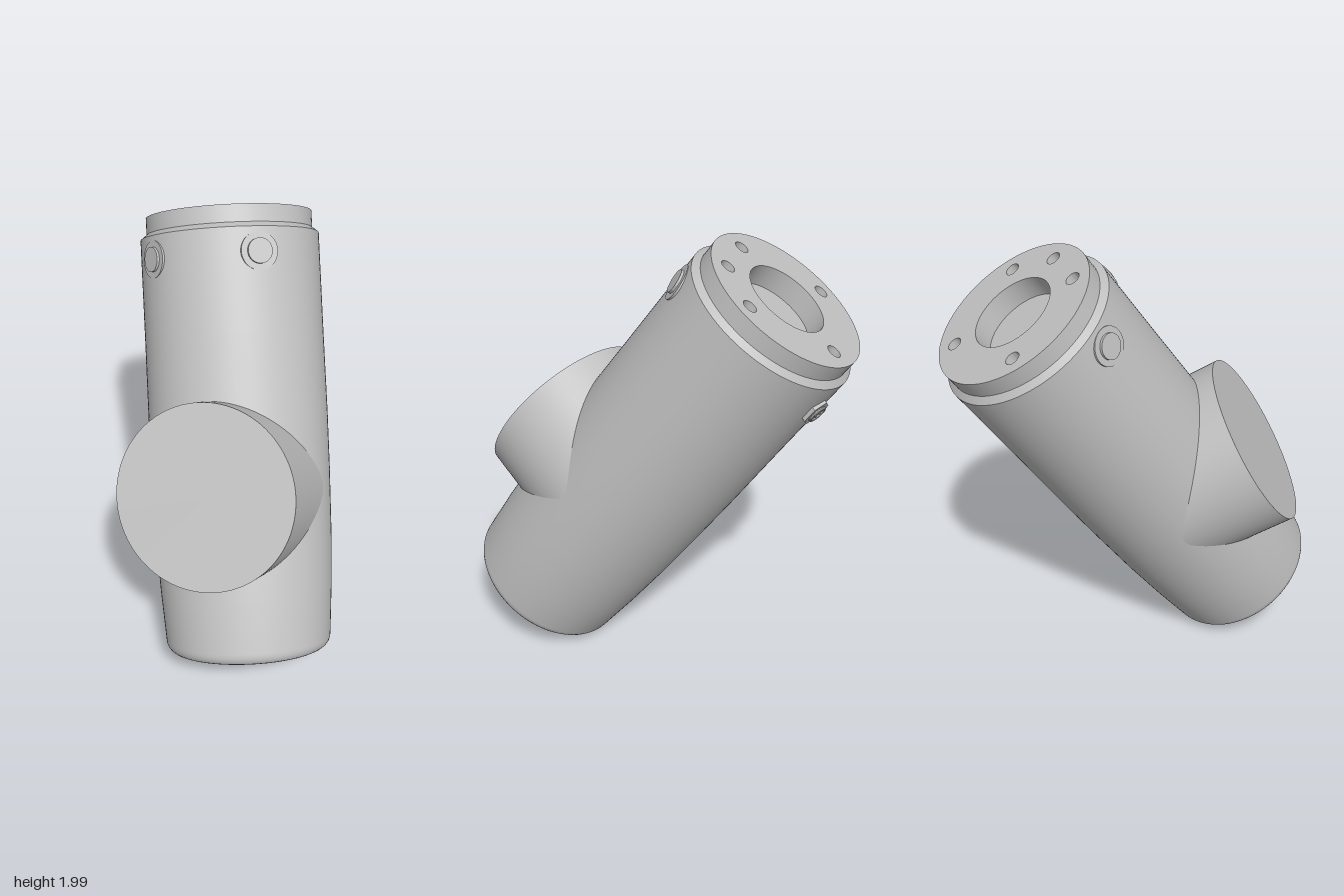
import * as THREE from 'three';
import { toCreasedNormals } from 'three/addons/utils/BufferGeometryUtils.js';

export function createModel() {
  const model = new THREE.Group();
  const grey = new THREE.MeshStandardMaterial({ color: 0xbfbfbf });
  grey.name = 'light grey';
  const rad = THREE.MathUtils.degToRad;

  // Everything is built along a local y axis, then leaned back as a whole
  const housing = new THREE.Group();
  housing.name = 'leaningHousing';
  housing.position.set(-0.083, 0.2, 0.531);
  housing.quaternion.setFromUnitVectors(
    new THREE.Vector3(0, 1, 0), new THREE.Vector3(0.14, 0.824, -0.549).normalize());
  model.add(housing);

  function add(parent, name, geometry) {
    const mesh = new THREE.Mesh(toCreasedNormals(geometry, 0.5), grey);
    mesh.name = name;
    parent.add(mesh);
    return mesh;
  }

  // Group whose +z points outward from the body axis
  function radial(name, degrees, height) {
    const group = new THREE.Group();
    group.name = name;
    group.position.y = height;
    group.rotation.y = rad(90 - degrees);
    housing.add(group);
    return group;
  }

  // Cylinder along +z between two distances from the axis
  function stud(parent, name, radius, from, to, sides = 48) {
    const g = new THREE.CylinderGeometry(radius, radius, to - from, sides);
    g.rotateX(Math.PI / 2).translate(0, 0, (from + to) / 2);
    return add(parent, name, g);
  }

  // Slightly barrelled body with a rounded foot and chamfered shoulder
  const profile = [[0, 0]];
  for (let i = 0; i <= 6; i++) {
    const a = (i / 6) * Math.PI / 2;
    profile.push([0.315 + 0.055 * Math.sin(a), 0.055 * (1 - Math.cos(a))]);
  }
  profile.push([0.385, 0.28], [0.394, 0.5], [0.399, 0.8], [0.4, 1.05], [0.397, 1.4],
    [0.395, 1.84], [0.367, 1.862], [0.355, 1.835], [0, 1.835]);
  add(housing, 'body',
    new THREE.LatheGeometry(profile.map(p => new THREE.Vector2(...p)), 96));

  // End flange with a central bore and five bolt holes
  const ring = new THREE.Shape().absarc(0, 0, 0.367, 0, Math.PI * 2);
  const hole = (x, y, r) => ring.holes.push(new THREE.Path().absarc(x, y, r, 0, Math.PI * 2, true));
  hole(0, 0, 0.182);
  for (const a of [38, 83, 128, 218, 308]) {
    hole(0.287 * Math.cos(rad(a)), -0.287 * Math.sin(rad(a)), 0.031);
  }
  const flange = new THREE.ExtrudeGeometry(ring, { depth: 0.1, bevelEnabled: false, curveSegments: 40 });
  flange.rotateX(-Math.PI / 2).translate(0, 1.836, 0);
  add(housing, 'flange', flange);

  // Large side branch
  const port = 128;
  stud(radial('sidePort', port, 0.734), 'sideBranch', 0.394, 0, 0.478, 96);

  // Two round plugs, one either side of the branch direction
  for (const side of [-1, 1]) {
    const plug = radial('roundPlug', port + side * 37, 1.738);
    stud(plug, 'plugSeat', 0.08, 0.37, 0.397);
    stud(plug, 'plugHead', 0.053, 0.37, 0.408);
  }

  // Hexagonal connector opposite the branch
  const connector = radial('connector', port + 180, 1.7);
  stud(connector, 'hexNut', 0.066, 0.37, 0.408, 6);
  const rim = new THREE.TorusGeometry(0.036, 0.007, 10, 36);
  rim.translate(0, 0, 0.412);
  add(connector, 'connectorRim', rim);
  for (let i = 0; i < 5; i++) {
    const a = i * Math.PI * 2 / 5;
    const pin = stud(connector, 'contactPin', 0.005, 0.4, 0.415, 10);
    pin.position.set(0.017 * Math.cos(a), 0.017 * Math.sin(a), 0);
  }

  return model;
}
